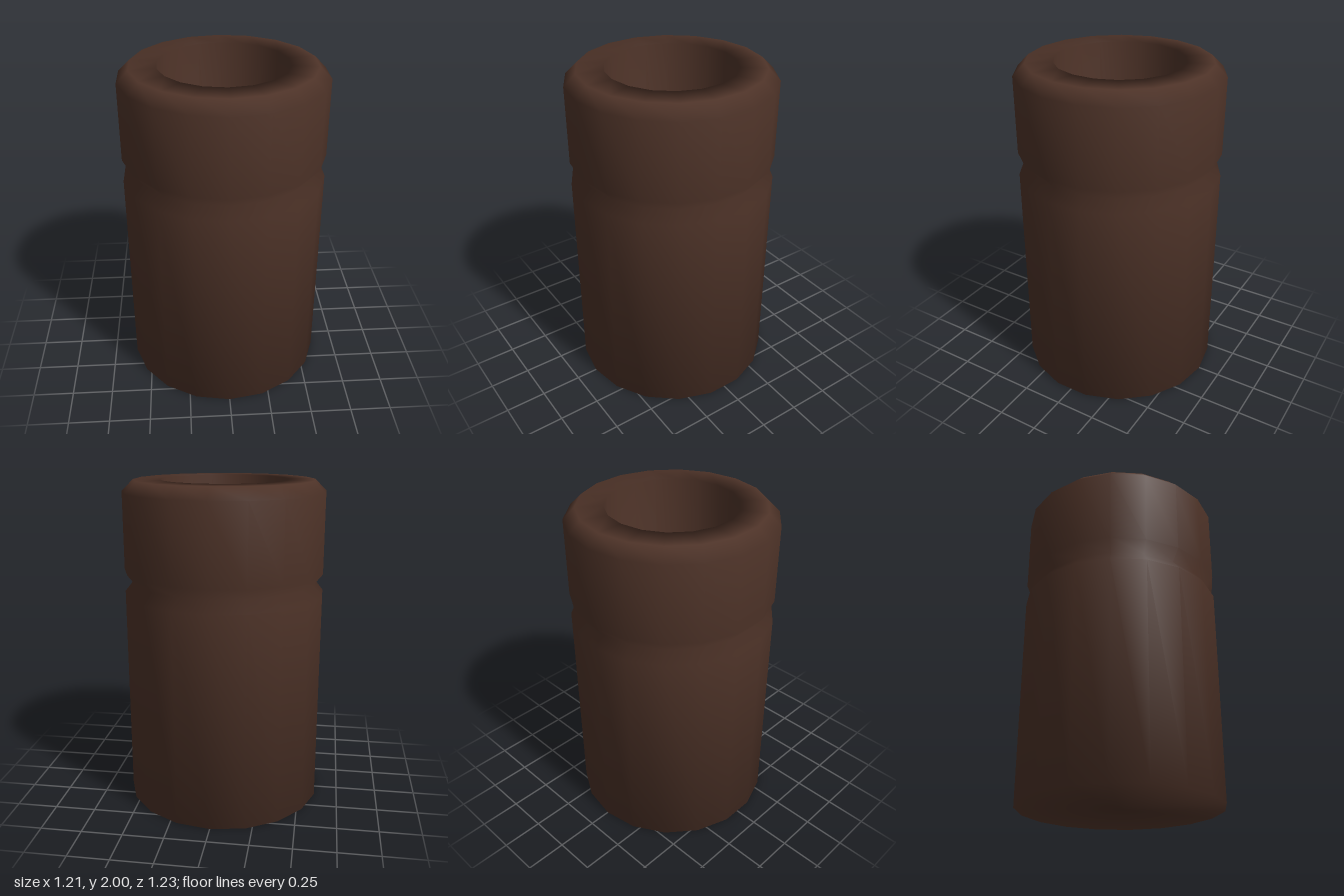
import * as THREE from 'three';

export function createModel() {
  const model = new THREE.Group();
  model.name = 'cup';

  const darkBrown = new THREE.MeshStandardMaterial({ color: 0x4e3328 });
  darkBrown.name = 'darkBrown';

  // Profile from the underside centre, up the outside, over the rim and down the bore
  const profile = [
    [0, 0], [0.615, 0],                          // underside
    [0.615, 1.32], [0.56, 1.39], [0.615, 1.46],  // wall and V groove
    [0.615, 1.93], [0.545, 2],                   // collar and chamfer
    [0.385, 2], [0.385, 0.2], [0, 0.2],          // rim, bore and inner floor
  ].map(([r, y]) => new THREE.Vector2(r, y));

  // Eighteen smooth-shaded sides
  const body = new THREE.Mesh(new THREE.LatheGeometry(profile, 18), darkBrown);
  body.name = 'hollowBody';
  model.add(body);

  return model;
}
